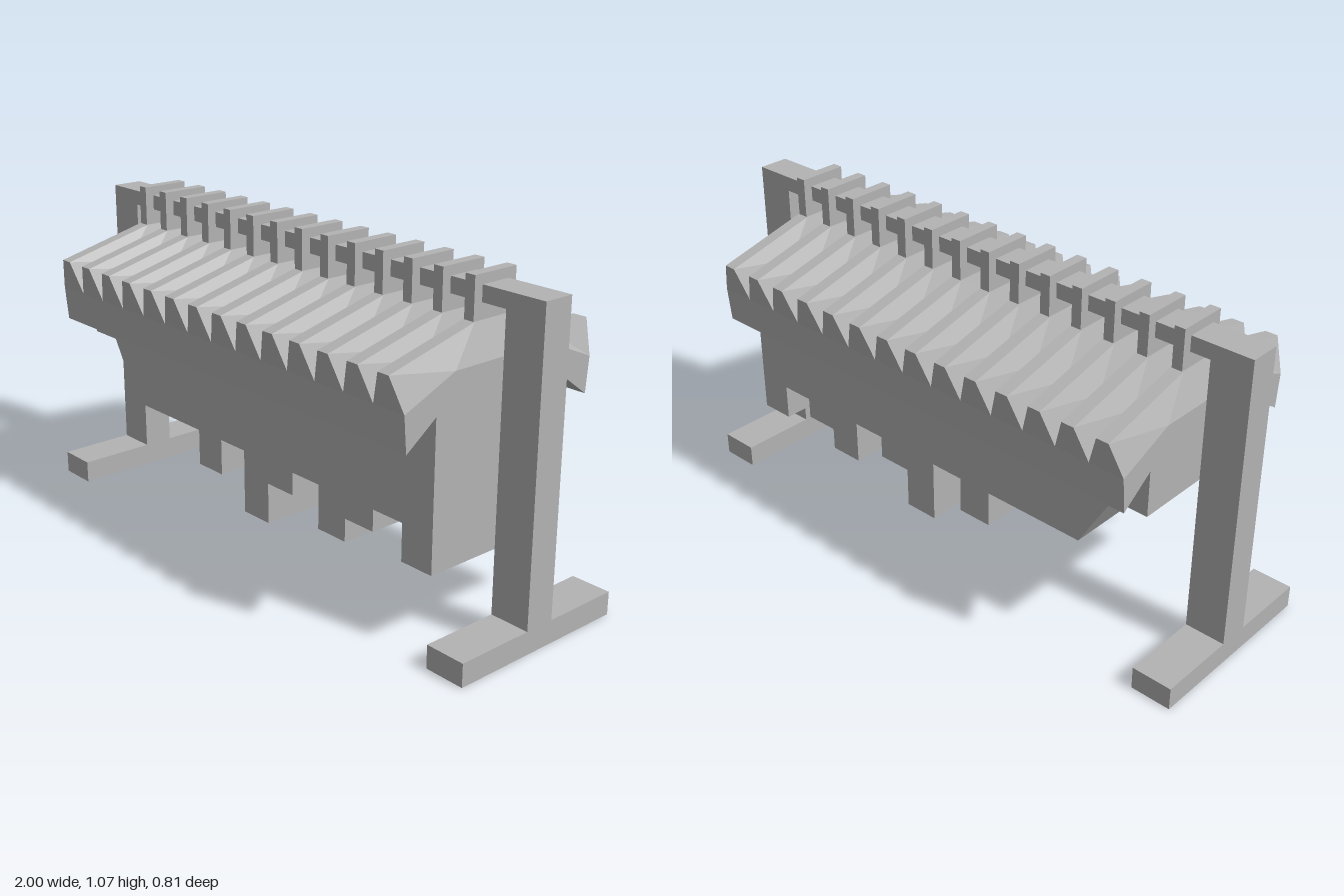
import * as THREE from 'three';

const X0 = -0.84, X1 = 0.82, COUNT = 14, PITCH = (X1 - X0) / COUNT;

// Cross-section stations from front to back: valley and ridge lines of one garment
const STATIONS = [
  { vz: 0.38, vy: 0.755, rz: 0.403, ry: 0.86 },
  { vz: 0.19, vy: 0.835, rz: 0.083, ry: 0.94 },
  { vz: -0.19, vy: 0.835, rz: -0.083, ry: 0.94 },
  { vz: -0.38, vy: 0.755, rz: -0.403, ry: 0.86 },
];

function polygon(points) {
  return new THREE.Shape(points.map(([x, y]) => new THREE.Vector2(x, y)));
}

// Tapered shoulder ridge, centred on x = 0
function shoulderGeometry() {
  const hv = PITCH / 2, hr = 0.021;
  const rows = STATIONS.map((s) => [
    [-hv, s.vy, s.vz], [-hr, s.ry, s.rz], [hr, s.ry, s.rz], [hv, s.vy, s.vz],
  ]);
  const pos = [];
  const quad = (a, b, c, d) => pos.push(...a, ...b, ...c, ...a, ...c, ...d);
  for (let s = 0; s < 3; s++) {
    for (let j = 0; j < 3; j++) {
      quad(rows[s][j], rows[s][j + 1], rows[s + 1][j + 1], rows[s + 1][j]);
    }
  }
  const f = rows[0], b = rows[3];
  quad(f[0], f[3], f[2], f[1]);
  quad(b[0], b[1], b[2], b[3]);
  const geo = new THREE.BufferGeometry();
  geo.setAttribute('position', new THREE.Float32BufferAttribute(pos, 3));
  geo.computeVertexNormals();
  return geo;
}

export function createModel() {
  const model = new THREE.Group();
  model.name = 'clothesRack';
  const grey = new THREE.MeshStandardMaterial({ color: 0xb3b3b3 });
  grey.name = 'grey';

  const add = (name, geo, x = 0, y = 0, z = 0, parent = model) => {
    const mesh = new THREE.Mesh(geo, grey);
    mesh.name = name;
    mesh.position.set(x, y, z);
    parent.add(mesh);
    return mesh;
  };
  const box = (w, h, d) => new THREE.BoxGeometry(w, h, d);

  // Frame: rail, posts and feet
  add('rail', box(1.73, 0.05, 0.104), 0, 1.015, 0);
  for (const [side, sx] of [['left', 1], ['right', -1]]) {
    add(side + 'Post', box(0.135, 0.965, 0.104), sx * 0.9325, 0.5575, 0);
    add(side + 'Foot', box(0.135, 0.075, 0.63), sx * 0.9325, 0.0375, 0);
  }

  // Garment bodies with uneven hems, hanging side by side
  const hems = [0.37, 0.37, 0.37, 0.25, 0.37, 0.16, 0.295, 0.37, 0.225, 0.3, 0.37, 0.25];
  const outline = [[X0, 0.72], [X0, 0.57], [X0 + PITCH, 0.57]];
  hems.forEach((y, i) => {
    const x = X0 + PITCH * (i + 2);
    outline.push([x, y], [x + PITCH, y]);
  });
  outline.push([X1, 0.72]);
  const points = outline.filter((p, i) => i === 0 || p[0] !== outline[i - 1][0] || p[1] !== outline[i - 1][1]);
  const bodies = new THREE.ExtrudeGeometry(polygon(points), { depth: 0.52, bevelEnabled: false });
  add('garmentBodies', bodies, 0, 0, -0.26);

  // Shoulders and sleeves: one section run along the rail
  const section = polygon([
    [0.38, 0.755], [0.19, 0.835], [-0.19, 0.835], [-0.38, 0.755],
    [-0.37, 0.64], [-0.26, 0.72], [0.26, 0.72], [0.37, 0.64],
  ]);
  const sleeves = new THREE.ExtrudeGeometry(section, { depth: X1 - X0, bevelEnabled: false });
  sleeves.rotateY(Math.PI / 2);
  add('sleeves', sleeves, X0, 0, 0);

  // Shoulder ridges and hanger hooks
  const shoulder = shoulderGeometry();
  const hook = box(0.035, 0.135, 0.166);
  for (let i = 0; i < COUNT; i++) {
    const garment = new THREE.Group();
    garment.name = 'garment' + (i + 1);
    garment.position.x = X0 + PITCH * (i + 0.5);
    add('shoulders', shoulder, 0, 0, 0, garment);
    add('hangerHook', hook, 0, 1.0035, 0, garment);
    model.add(garment);
  }
  return model;
}
